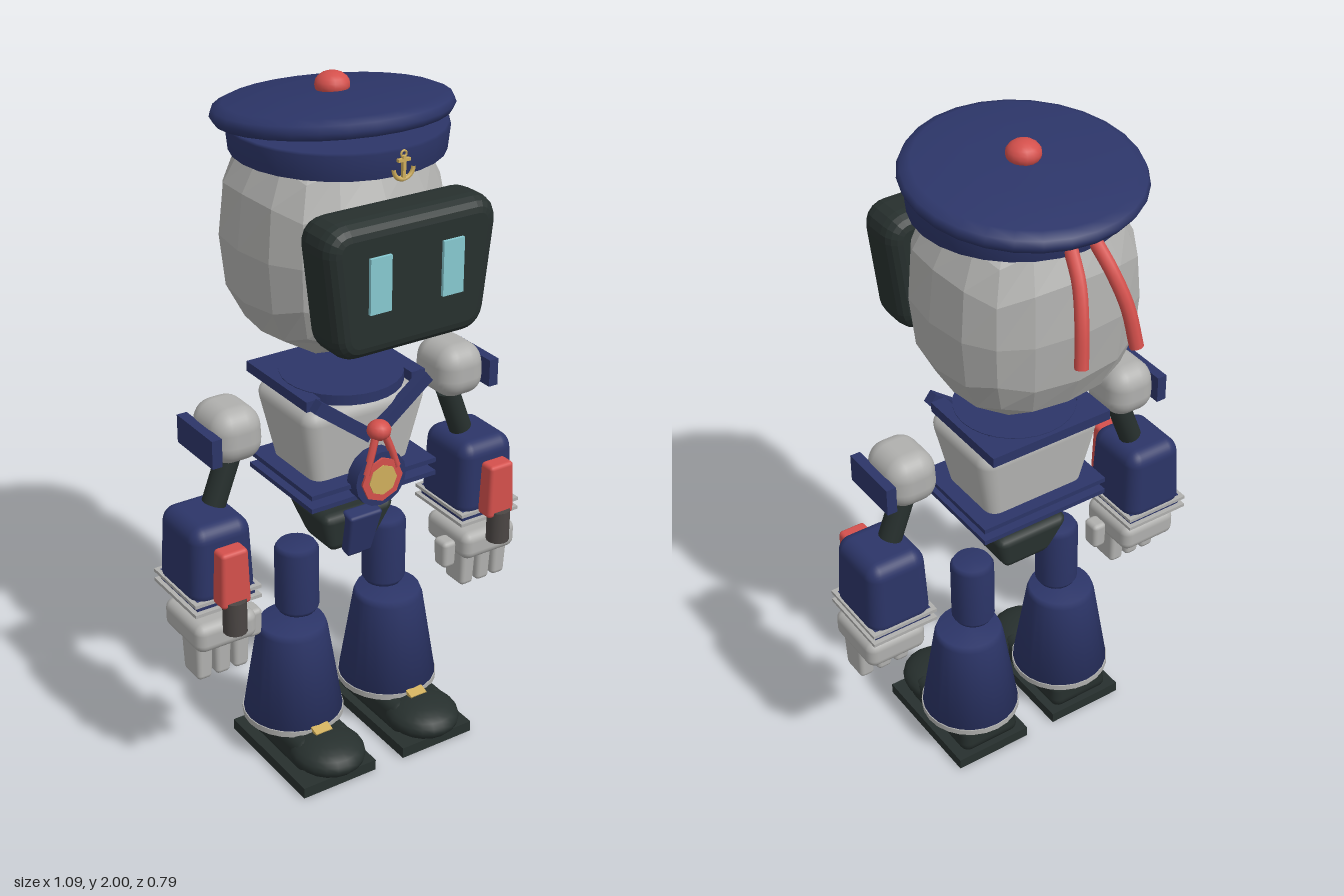
import * as THREE from 'three';
import { RoundedBoxGeometry } from 'three/addons/geometries/RoundedBoxGeometry.js';

const mat = (name, color) => {
  const m = new THREE.MeshStandardMaterial({ color });
  m.name = name;
  return m;
};

export function createModel() {
  const navy = mat('navy', 0x2c3568), grey = mat('light grey', 0xb0b0ae), dark = mat('charcoal green', 0x27302e);
  const red = mat('red', 0xd4504c), cyan = mat('cyan', 0x86c8d0), gold = mat('gold', 0xcfae5c), grip = mat('grip brown', 0x4b4644);
  const model = new THREE.Group();
  model.name = 'sailorRobot';

  const add = (parent, name, geo, m, x = 0, y = 0, z = 0) => {
    const mesh = new THREE.Mesh(geo, m);
    mesh.name = name;
    mesh.position.set(x, y, z);
    parent.add(mesh);
    return mesh;
  };
  const group = (name, parent = model) => {
    const g = new THREE.Group();
    g.name = name;
    parent.add(g);
    return g;
  };
  // rounded box whose x and z shrink linearly to the given factors at the bottom / top
  const block = (w, h, d, r, bottom = 1, top = 1, seg = 3) => {
    const g = new RoundedBoxGeometry(w, h, d, seg, r), p = g.attributes.position;
    for (let i = 0; i < p.count; i++) {
      const k = THREE.MathUtils.lerp(bottom, top, p.getY(i) / h + 0.5);
      p.setXYZ(i, p.getX(i) * k, p.getY(i), p.getZ(i) * k);
    }
    return g;
  };
  const box = (w, h, d) => new THREE.BoxGeometry(w, h, d);
  const cyl = (rt, rb, h, n = 24) => new THREE.CylinderGeometry(rt, rb, h, n);
  const lathe = (pts, n = 28) => new THREE.LatheGeometry(pts.map(p => new THREE.Vector2(...p)), n);
  const tube = (pts, r, n = 8) => new THREE.TubeGeometry(
    new THREE.CatmullRomCurve3(pts.map(p => new THREE.Vector3(...p))), 12, r, n);

  // Head: faceted cube swelled into a superellipsoid
  const head = group('head');
  let skull = new THREE.BoxGeometry(2, 2, 2, 4, 4, 4);
  const sp = skull.attributes.position, v = new THREE.Vector3();
  for (let i = 0; i < sp.count; i++) {
    v.fromBufferAttribute(sp, i);
    const n = Math.pow(Math.abs(v.x) ** 2.6 + Math.abs(v.y) ** 2.6 + Math.abs(v.z) ** 2.6, 1 / 2.6);
    v.divideScalar(n);
    sp.setXYZ(i, v.x * 0.292, v.y * 0.32, v.z * 0.268);
  }
  skull = skull.toNonIndexed();
  skull.computeVertexNormals();
  add(head, 'skull', skull, grey, 0, 1.57, 0);

  // Visor: rounded trapezoid with a deep bevel
  const vs = new THREE.Shape();
  vs.moveTo(-0.16, -0.145);
  vs.lineTo(0.16, -0.145);
  vs.quadraticCurveTo(0.19, -0.145, 0.195, -0.115);
  vs.lineTo(0.222, 0.11);
  vs.quadraticCurveTo(0.225, 0.145, 0.19, 0.145);
  vs.lineTo(-0.19, 0.145);
  vs.quadraticCurveTo(-0.225, 0.145, -0.222, 0.11);
  vs.lineTo(-0.195, -0.115);
  vs.quadraticCurveTo(-0.19, -0.145, -0.16, -0.145);
  const visor = new THREE.ExtrudeGeometry(vs, {
    depth: 0.055, bevelEnabled: true, bevelSize: 0.04, bevelThickness: 0.05, bevelSegments: 4, curveSegments: 5 });
  add(head, 'visor', visor, dark, 0, 1.55, 0.28);
  for (const s of [-1, 1]) add(head, 'eye', box(0.064, 0.15, 0.009), cyan, s * 0.111, 1.57, 0.3895);

  // Sailor cap
  const cap = group('cap');
  add(cap, 'capBand', lathe([[0, -0.038], [0.275, -0.038], [0.285, -0.034], [0.292, 0.032], [0.286, 0.038], [0, 0.038]]),
    navy, 0, 1.843, 0.025);
  const crown = add(cap, 'capCrown', lathe([[0, -0.03], [0.285, -0.028], [0.31, -0.022], [0.32, -0.004],
    [0.312, 0.014], [0.285, 0.026], [0.15, 0.04], [0, 0.044]]), navy, 0, 1.91, 0);
  crown.rotation.x = -0.108;
  add(cap, 'pompom', new THREE.SphereGeometry(0.047, 16, 10), red, 0, 1.965, 0).scale.y = 0.74;
  for (const s of [-1, 1]) add(cap, 'ribbon', tube([[s * 0.035, 1.83, -0.25], [s * 0.05, 1.76, -0.31],
    [s * 0.07, 1.67, -0.352], [s * 0.085, 1.56, -0.375]], 0.019), red);
  const anchor = group('anchor', cap);
  anchor.position.set(0, 1.84, 0.322);
  add(anchor, 'anchorShank', box(0.009, 0.06, 0.01), gold, 0, -0.005);
  add(anchor, 'anchorStock', box(0.036, 0.008, 0.01), gold, 0, 0.014);
  add(anchor, 'anchorRing', new THREE.TorusGeometry(0.008, 0.003, 6, 12), gold, 0, 0.03);
  add(anchor, 'anchorArms', new THREE.TorusGeometry(0.03, 0.006, 6, 12, Math.PI), gold, 0, -0.006).rotation.z = Math.PI;

  // Torso, collar and belts
  const torso = group('torso');
  add(torso, 'chest', block(0.41, 0.315, 0.3, 0.045, 0.68, 1), grey, 0, 0.983, 0.043);
  add(torso, 'neckDisc', cyl(0.172, 0.172, 0.03, 28), navy, 0, 1.162, 0.045);
  add(torso, 'collarBack', box(0.385, 0.03, 0.09), navy, 0, 1.16, -0.094);
  for (const s of [-1, 1]) {
    add(torso, 'collarSide', box(0.045, 0.03, 0.24), navy, s * 0.17, 1.16, 0.05);
    add(torso, 'lapel', box(0.215, 0.036, 0.03), navy, s * 0.095, 1.105, 0.195).rotation.z = s * 0.66;
  }
  for (const y of [0.908, 0.868]) add(torso, 'belt', box(0.41, 0.014, 0.325), navy, 0, y, 0.052);

  // Medal on a knotted cord
  const medal = group('medal', torso);
  add(medal, 'medalBase', cyl(0.082, 0.082, 0.045, 16), navy, 0, 0.923, 0.222).rotation.x = Math.PI / 2;
  add(medal, 'medalRing', cyl(0.066, 0.066, 0.008, 8), red, 0, 0.923, 0.2475).rotation.x = Math.PI / 2;
  add(medal, 'medalFace', cyl(0.045, 0.045, 0.008, 8), gold, 0, 0.923, 0.2505).rotation.x = Math.PI / 2;
  add(medal, 'knot', new THREE.SphereGeometry(0.034, 14, 10), red, 0, 1.066, 0.23).scale.y = 0.85;
  for (const s of [-1, 1])
    add(medal, 'cord', tube([[s * 0.012, 1.06, 0.235], [s * 0.03, 1.01, 0.242], [s * 0.05, 0.95, 0.245]], 0.011, 6), red);

  // Pelvis with front panel
  const pelvis = group('pelvis');
  add(pelvis, 'hipBlock', block(0.25, 0.145, 0.22, 0.03, 0.58, 1, 2), dark, 0, 0.713, 0.045);
  add(pelvis, 'frontPanel', block(0.11, 0.15, 0.05, 0.01, 0.72, 1, 2), navy, 0, 0.71, 0.14).rotation.x = 0.22;

  for (const s of [-1, 1]) {
    const side = s > 0 ? 'left' : 'right';
    // Leg
    const leg = group(side + 'Leg');
    leg.position.set(s * 0.167, 0, 0.045);
    add(leg, 'thigh', lathe([[0, 0.455], [0.055, 0.455], [0.064, 0.47], [0.064, 0.655], [0.055, 0.67], [0, 0.67]], 20),
      navy, -s * 0.017);
    add(leg, 'trouser', lathe([[0, 0.128], [0.146, 0.128], [0.103, 0.4], [0.095, 0.42], [0, 0.424]], 24), navy);
    add(leg, 'trouserTrim', cyl(0.149, 0.149, 0.018), grey, 0, 0.12);
    add(leg, 'sole', box(0.245, 0.034, 0.395), dark, s * 0.004, 0.018, 0.063);
    add(leg, 'shoe', block(0.2, 0.085, 0.32, 0.03, 1.05, 0.9), dark, 0, 0.073, 0.04);
    add(leg, 'toeCap', new THREE.SphereGeometry(1, 20, 12), dark, 0, 0.074, 0.185).scale.set(0.108, 0.052, 0.117);
    add(leg, 'buckle', box(0.055, 0.012, 0.03), gold, 0, 0.127, 0.155).rotation.x = 0.3;

    // Arm
    const arm = group(side + 'Arm');
    arm.position.z = 0.048;
    add(arm, 'shoulder', block(0.158, 0.156, 0.19, 0.06, 1, 0.92, 4), grey, s * 0.366, 1.097, 0);
    add(arm, 'epaulette', box(0.03, 0.082, 0.188), navy, s * 0.452, 1.085, 0.004);
    add(arm, 'upperArm', cyl(0.034, 0.034, 0.145, 14), dark, s * 0.388, 0.95, 0).rotation.z = s * 0.36;
    add(arm, 'forearm', block(0.2, 0.24, 0.228, 0.045, 1, 0.9, 4), navy, s * 0.443, 0.752, 0.004);
    add(arm, 'cuff', box(0.18, 0.045, 0.205), navy, s * 0.443, 0.641, 0.004);
    for (const y of [0.657, 0.627]) add(arm, 'cuffTrim', box(0.206, 0.01, 0.234), grey, s * 0.443, y, 0.004);
    add(arm, 'redGuard', block(0.092, 0.168, 0.06, 0.012, 1, 0.88, 2), red, s * 0.445, 0.737, 0.142);
    add(arm, 'grip', cyl(0.034, 0.034, 0.1, 14), grip, s * 0.446, 0.62, 0.156);

    // Hand
    const hand = group(side + 'Hand', arm);
    add(hand, 'palm', block(0.19, 0.088, 0.205, 0.028), grey, s * 0.448, 0.542, 0.024);
    for (let i = 0; i < 3; i++)
      add(hand, 'finger', block(0.053, 0.14, 0.1, 0.014, 0.85, 1, 2), grey, s * (0.391 + i * 0.058), 0.465, 0.05);
    add(hand, 'thumb', block(0.048, 0.088, 0.06, 0.014, 0.9, 1, 2), grey, s * 0.335, 0.508, 0.05);
  }
  return model;
}
